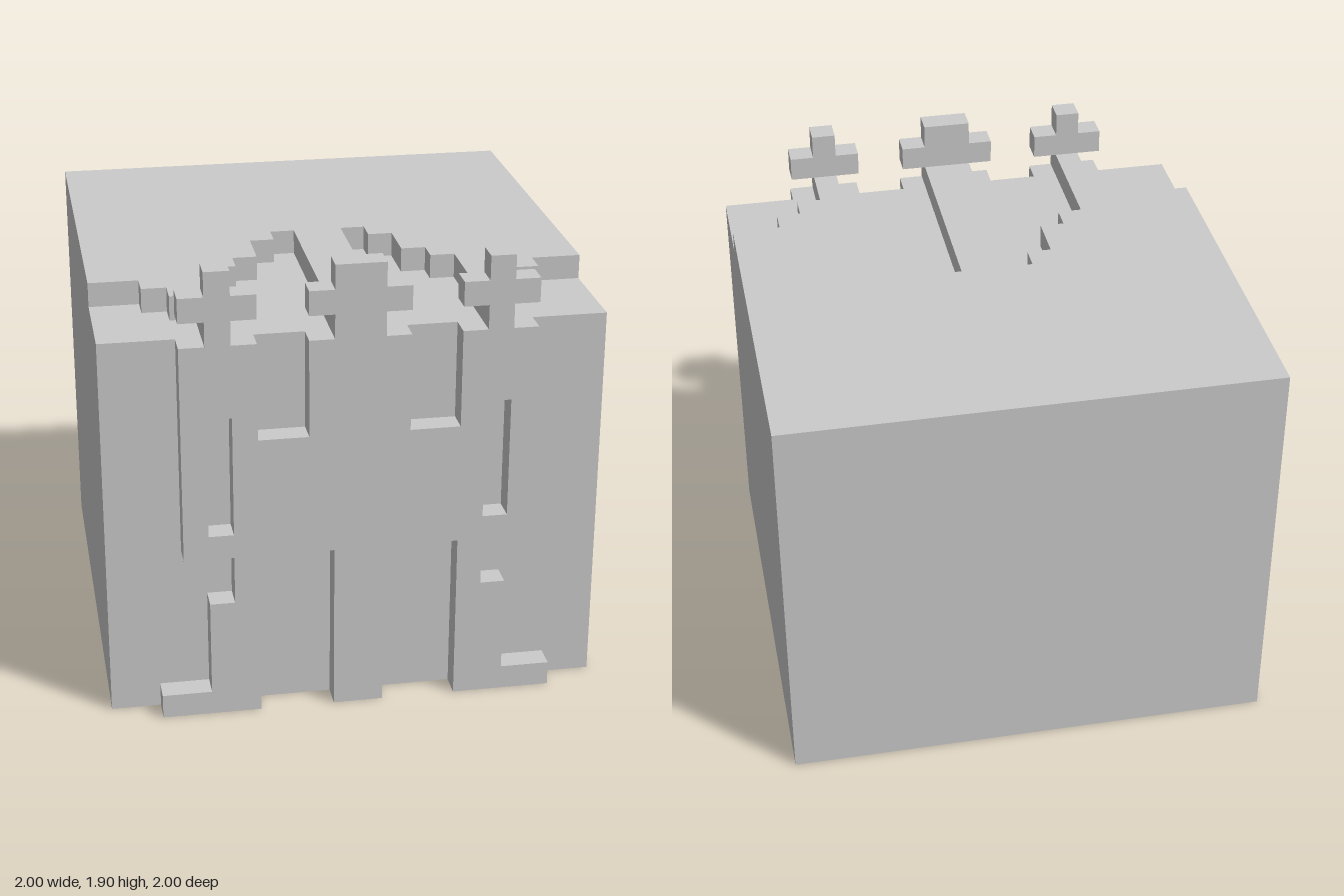
import * as THREE from 'three';

const material = new THREE.MeshStandardMaterial({ color: 0xcccccc });

// Closed shape from the outline of its +x half, mirrored across x = 0
function mirroredShape(half) {
  const points = half.map(([x, y]) => new THREE.Vector2(x, y));
  const mirror = half.map(([x, y]) => new THREE.Vector2(-x, y)).reverse();
  return new THREE.Shape([...points, ...mirror]);
}

function addMesh(group, name, geometry) {
  const mesh = new THREE.Mesh(geometry, material);
  mesh.name = name;
  group.add(mesh);
  return mesh;
}

const slab = (shape) => new THREE.ExtrudeGeometry(shape, { depth: 0.1, bevelEnabled: false });

export function createModel() {
  const group = new THREE.Group();
  group.name = 'steppedBlock';

  // Solid body block
  addMesh(group, 'body', new THREE.BoxGeometry(2, 1.6, 1.9)).position.set(0, 0.8, -0.05);

  // Top layer with stepped recesses open to the front, given as (x, z)
  const top = [
    [0.1, 0.9], [0.1, 0], [0.2, 0], [0.2, 0.1], [0.3, 0.1], [0.3, 0.3],
    [0.4, 0.3], [0.4, 0.4], [0.5, 0.4], [0.5, 0.9], [0.6, 0.9], [0.6, 0.7],
    [0.7, 0.7], [0.7, 0.6], [0.8, 0.6], [0.8, 0.5], [1, 0.5], [1, -1],
  ];
  const topGeometry = slab(mirroredShape(top.map(([x, z]) => [x, -z])));
  topGeometry.rotateX(-Math.PI / 2);
  addMesh(group, 'topLayer', topGeometry).position.y = 1.6;

  // Front relief: legs, body and three crosses rising above the block
  const relief = mirroredShape([
    // middle leg, outer leg and foot
    [0.1, 0], [0.1, 0.7], [0.4, 0.7], [0.4, 0], [0.8, 0], [0.8, 0.1], [0.6, 0.1],
    [0.6, 0.5], [0.5, 0.5], [0.5, 0.7], [0.7, 0.7], [0.7, 1.6],
    // outer cross
    [0.6, 1.6], [0.6, 1.7], [0.7, 1.7], [0.7, 1.8], [0.6, 1.8], [0.6, 1.9],
    [0.5, 1.9], [0.5, 1.8], [0.4, 1.8], [0.4, 1.7], [0.5, 1.7], [0.5, 1.6],
    // slot and middle cross
    [0.4, 1.6], [0.4, 1.2], [0.2, 1.2], [0.2, 1.6], [0.1, 1.6], [0.1, 1.7],
    [0.2, 1.7], [0.2, 1.8], [0.1, 1.8], [0.1, 1.9],
  ]);
  // Narrow window on each side
  for (const x of [-0.6, 0.5]) {
    relief.holes.push(new THREE.Path([
      new THREE.Vector2(x, 0.8), new THREE.Vector2(x, 1.3),
      new THREE.Vector2(x + 0.1, 1.3), new THREE.Vector2(x + 0.1, 0.8),
    ]));
  }
  addMesh(group, 'frontRelief', slab(relief)).position.z = 0.9;

  return group;
}
